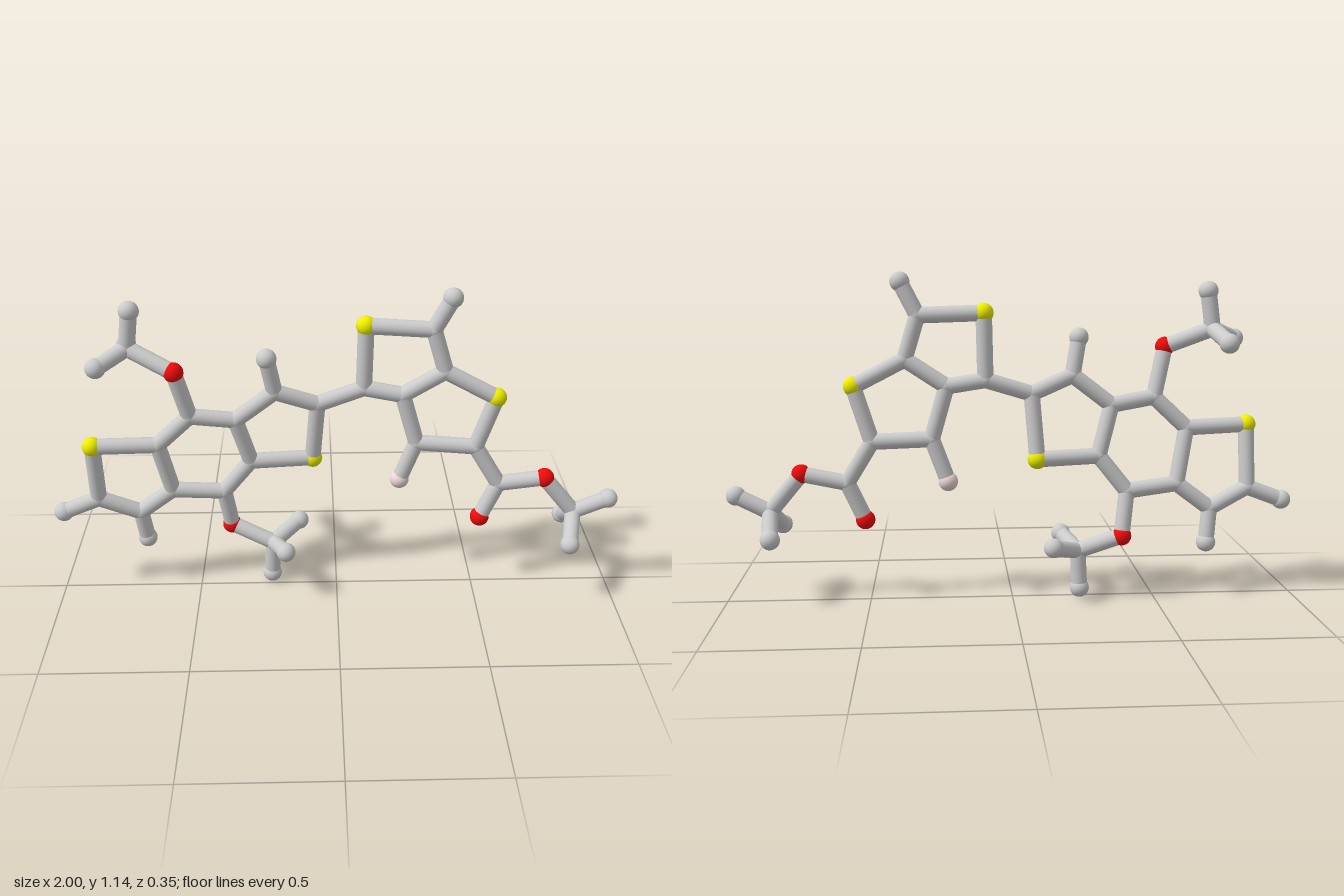
import * as THREE from 'three';

const STICK = 0.028;
const UP = new THREE.Vector3(0, 1, 0);

// ball radius and colour for each kind of atom
const kinds = {
  carbon: [0.029, 0xcccccc],
  hydrogen: [0.034, 0xcccccc],
  oxygen: [0.034, 0xee0a0a],
  sulfur: [0.034, 0xeeee00],
  fluorine: [0.034, 0xeed6d6],
};

// the two flat ring systems lie in slightly tilted planes
const leftPlane = (x, y) => -0.115 - 0.094 * x + 0.13 * y;
const rightPlane = (x) => -0.046 + 0.085 * x;

// name: [kind, x, y, z (optional, otherwise on the plane)]
const leftAtoms = {
  s1: ['sulfur', -0.837, 0.607],
  c2: ['carbon', -0.84, 0.385],
  h2: ['hydrogen', -0.967, 0.336],
  c3: ['carbon', -0.70, 0.315],
  h3: ['hydrogen', -0.687, 0.195],
  r1: ['carbon', -0.58, 0.405],
  r2: ['carbon', -0.617, 0.60],
  r3: ['carbon', -0.50, 0.71],
  r4: ['carbon', -0.347, 0.685],
  r5: ['carbon', -0.30, 0.51],
  r6: ['carbon', -0.40, 0.385],
  c4: ['carbon', -0.21, 0.79],
  h4: ['hydrogen', -0.233, 0.92],
  c5: ['carbon', -0.065, 0.73, -0.02],
  s2: ['sulfur', -0.083, 0.505, -0.05],
  // upper methoxy arm
  oA: ['oxygen', -0.54, 0.885, 0.05],
  mA: ['carbon', -0.695, 0.95, -0.005],
  hA1: ['hydrogen', -0.677, 1.08, -0.005],
  hA2: ['hydrogen', -0.79, 0.912, 0.072],
  hA3: ['hydrogen', -0.72, 0.908, -0.143],
  // lower methoxy arm
  oB: ['oxygen', -0.38, 0.23, -0.055],
  mB: ['carbon', -0.23, 0.17, -0.02],
  hB1: ['hydrogen', -0.237, 0.036, -0.022],
  hB2: ['hydrogen', -0.182, 0.205, 0.103],
  hB3: ['hydrogen', -0.135, 0.205, -0.114],
};
const rightAtoms = {
  c6: ['carbon', 0.095, 0.78],
  s3: ['sulfur', 0.10, 1.008],
  c7: ['carbon', 0.325, 1.0],
  h7: ['hydrogen', 0.383, 1.113],
  c8: ['carbon', 0.37, 0.85],
  c9: ['carbon', 0.228, 0.758],
  s4: ['sulfur', 0.548, 0.757],
  c10: ['carbon', 0.487, 0.565],
  c11: ['carbon', 0.28, 0.575],
  f: ['fluorine', 0.225, 0.427],
  // ester arm
  c12: ['carbon', 0.575, 0.42],
  oC: ['oxygen', 0.515, 0.287, 0.01],
  oD: ['oxygen', 0.735, 0.45, 0.02],
  mC: ['carbon', 0.847, 0.315, 0.027],
  hC1: ['hydrogen', 0.965, 0.372, 0.037],
  hC2: ['hydrogen', 0.82, 0.245, 0.14],
  hC3: ['hydrogen', 0.835, 0.24, -0.078],
};

// chains of bonded atoms
const chains = [
  's1 c2 c3 r1 r2 s1', 'r2 r3 r4 r5 r6 r1', 'r4 c4 c5 s2 r5',
  'c2 h2', 'c3 h3', 'c4 h4',
  'r3 oA mA hA1', 'hA2 mA hA3', 'r6 oB mB hB1', 'hB2 mB hB3',
  'c5 c6 s3 c7 c8 c9 c6', 'c8 s4 c10 c11 c9', 'c7 h7', 'c11 f',
  'c10 c12 oC', 'c12 oD mC hC1', 'hC2 mC hC3',
];

export function createModel() {
  const model = new THREE.Group();
  model.name = 'molecule';
  const balls = new THREE.Group();
  balls.name = 'atoms';
  const sticks = new THREE.Group();
  sticks.name = 'bonds';
  model.add(balls, sticks);

  // shared geometry and material per atom kind
  const look = {};
  for (const [kind, [radius, color]] of Object.entries(kinds)) {
    look[kind] = [
      new THREE.SphereGeometry(radius, 24, 16),
      new THREE.MeshStandardMaterial({ color }),
    ];
  }

  // atoms
  const at = {};
  const addAtoms = (atoms, plane) => {
    for (const [id, [kind, x, y, z = plane(x, y)]] of Object.entries(atoms)) {
      at[id] = new THREE.Vector3(x, y, z);
      const ball = new THREE.Mesh(...look[kind]);
      ball.name = kind + 'Atom';
      ball.position.copy(at[id]);
      balls.add(ball);
    }
  };
  addAtoms(leftAtoms, leftPlane);
  addAtoms(rightAtoms, rightPlane);

  // bonds: a stick between each neighbouring pair in a chain
  const grey = look.carbon[1];
  for (const chain of chains) {
    const ids = chain.split(' ');
    for (let i = 1; i < ids.length; i++) {
      const a = at[ids[i - 1]], b = at[ids[i]];
      const dir = b.clone().sub(a);
      const stick = new THREE.Mesh(
        new THREE.CylinderGeometry(STICK, STICK, dir.length(), 20, 1, true), grey);
      stick.name = 'bond';
      stick.position.copy(a).add(b).multiplyScalar(0.5);
      stick.quaternion.setFromUnitVectors(UP, dir.normalize());
      sticks.add(stick);
    }
  }
  return model;
}
